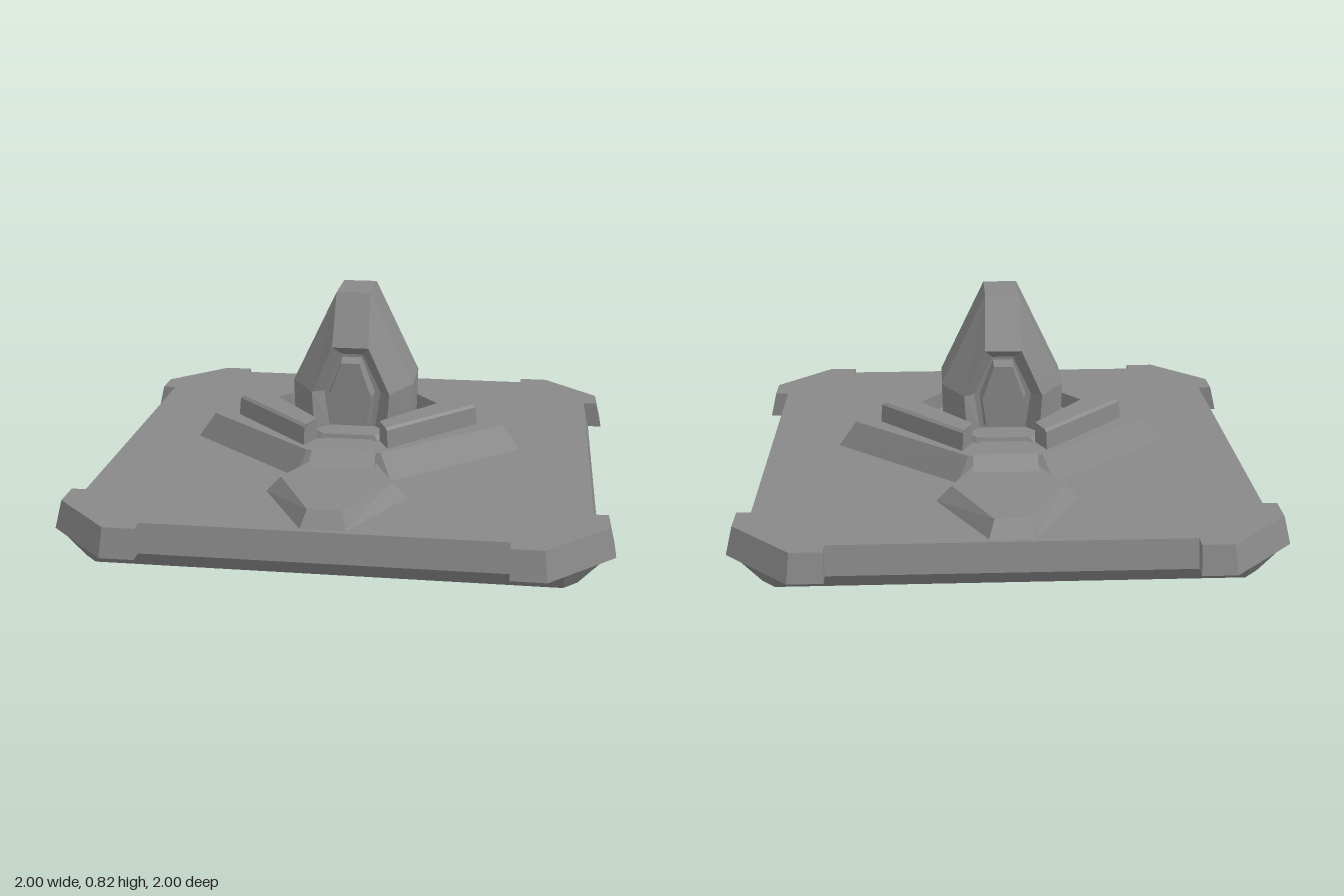
import * as THREE from 'three';

const material = new THREE.MeshStandardMaterial({ color: 0x888888, flatShading: true, side: THREE.DoubleSide });

// Skin through matching counter-clockwise outlines: sections = [[z, [[x, y], ...]], ...]
function loft(sections, startCap, endCap) {
  const pos = [];
  const n = sections[0][1].length;
  const last = sections.length - 1;
  const put = (s, i) => {
    const [z, pts] = sections[s];
    pos.push(pts[i % n][0], pts[i % n][1], z);
  };
  for (let s = 0; s < last; s++) {
    for (let i = 0; i < n; i++) {
      put(s, i); put(s, i + 1); put(s + 1, i + 1);
      put(s, i); put(s + 1, i + 1); put(s + 1, i);
    }
  }
  const cap = (s) => THREE.ShapeUtils.triangulateShape(sections[s][1].map(p => new THREE.Vector2(...p)), []);
  if (startCap) for (const [a, b, c] of cap(0)) { put(0, a); put(0, c); put(0, b); }
  if (endCap) for (const [a, b, c] of cap(last)) { put(last, a); put(last, b); put(last, c); }
  const geo = new THREE.BufferGeometry();
  geo.setAttribute('position', new THREE.Float32BufferAttribute(pos, 3));
  geo.computeVertexNormals();
  return geo;
}

// Shell stacked upwards with an open bottom, each outline being a plan at height y
const stack = (sections, topCap = true) => loft(sections, false, topCap).rotateX(-Math.PI / 2);

// Right half of an outline, bottom to top, mirrored to the left
const mirror = (half) => [...half, ...half.map(([x, y]) => [-x, y]).reverse()];

// One corner of an outline repeated by quarter turns
function fourfold(corner) {
  const out = [];
  let pts = corner;
  for (let k = 0; k < 4; k++) {
    out.push(...pts);
    pts = pts.map(([x, y]) => [-y, x]);
  }
  return out;
}

export function createModel() {
  const model = new THREE.Group();
  const add = (name, geo, turn = 0) => {
    const mesh = new THREE.Mesh(geo, material);
    mesh.name = name;
    mesh.rotation.y = turn;
    model.add(mesh);
  };

  // Flared skirt below the slab, hollow underneath
  const skirt = (r, c) => fourfold([[r, c], [c, r]]);
  add('skirt', stack([[0, skirt(0.87, 0.82)], [0.075, skirt(0.943, 0.82)]], false));

  // Square slab with projecting chamfered corners, open below
  const slab = (edge, out, cut) => fourfold([
    [edge, 0.64], [out, 0.64], [out, cut], [cut, out], [0.64, out], [0.64, edge]]);
  add('slab', stack([[0.075, slab(0.945, 1, 0.765)], [0.18, slab(0.922, 0.975, 0.755)]]));

  // Lower diamond step with cut-off tips
  const diamond = (x, tx, tz) => mirror([[tx, -tz], [x, 0], [tx, tz]]);
  add('lowerStep', stack([[0.18, diamond(0.65, 0.18, 0.41)], [0.28, diamond(0.58, 0.14, 0.385)]]));

  // Low plinth under the tower, filling the space between the rims
  add('plinth', stack([[0.28, diamond(0.32, 0.115, 0.255)], [0.30, diamond(0.32, 0.1, 0.25)]]));

  // Front and back: hexagonal spur and ramp; sides: V-shaped rim
  const spurBottom = mirror([[0.13, 0.25], [0.17, 0.40], [0.26, 0.57], [0.08, 0.90]]);
  const spurTop = mirror([[0.11, 0.25], [0.13, 0.41], [0.205, 0.57], [0.06, 0.865]]);
  const rampBottom = mirror([[0.09, 0.25], [0.12, 0.36], [0.125, 0.46]]);
  const rampTop = mirror([[0.09, 0.25], [0.12, 0.37], [0.12, 0.38]]);
  const rim = (d) => [
    [0.12, -0.25], [0.16 - d / 2, -0.335 + d / 2], [0.48 - d, 0],
    [0.16 - d / 2, 0.335 - d / 2], [0.12, 0.25], [0.32, 0]];
  for (const [turn, end, side] of [[0, 'back', 'left'], [Math.PI, 'front', 'right']]) {
    add(end + 'Spur', stack([[0.18, spurBottom], [0.24, spurTop]]), turn);
    add(end + 'Ramp', stack([[0.235, rampBottom], [0.285, rampTop]]), turn);
    add(side + 'Rim', stack([[0.28, rim(0)], [0.35, rim(0.006)], [0.36, rim(0.02)]]), turn);
  }

  // Tower: wide middle, narrower ends, each end sunk into a window recess
  const middle = mirror([[0.23, 0.29], [0.235, 0.47], [0.065, 0.825]]);
  const end = mirror([[0.14, 0.29], [0.15, 0.45], [0.07, 0.63]]);
  const recess = mirror([[0.09, 0.30], [0.11, 0.44], [0.04, 0.59]]);
  add('tower', loft([
    [-0.14, recess], [-0.2, end], [-0.105, middle],
    [0.105, middle], [0.2, end], [0.14, recess]], true, true));

  // Raised panel in each window
  const panelBack = mirror([[0.075, 0.31], [0.09, 0.44], [0.038, 0.58]]);
  const panelFace = mirror([[0.065, 0.33], [0.08, 0.44], [0.035, 0.57]]);
  add('frontPanel', loft([[0.13, panelBack], [0.205, panelFace]], false, true));
  add('backPanel', loft([[0.13, panelBack], [0.205, panelFace]], false, true), Math.PI);

  return model;
}
